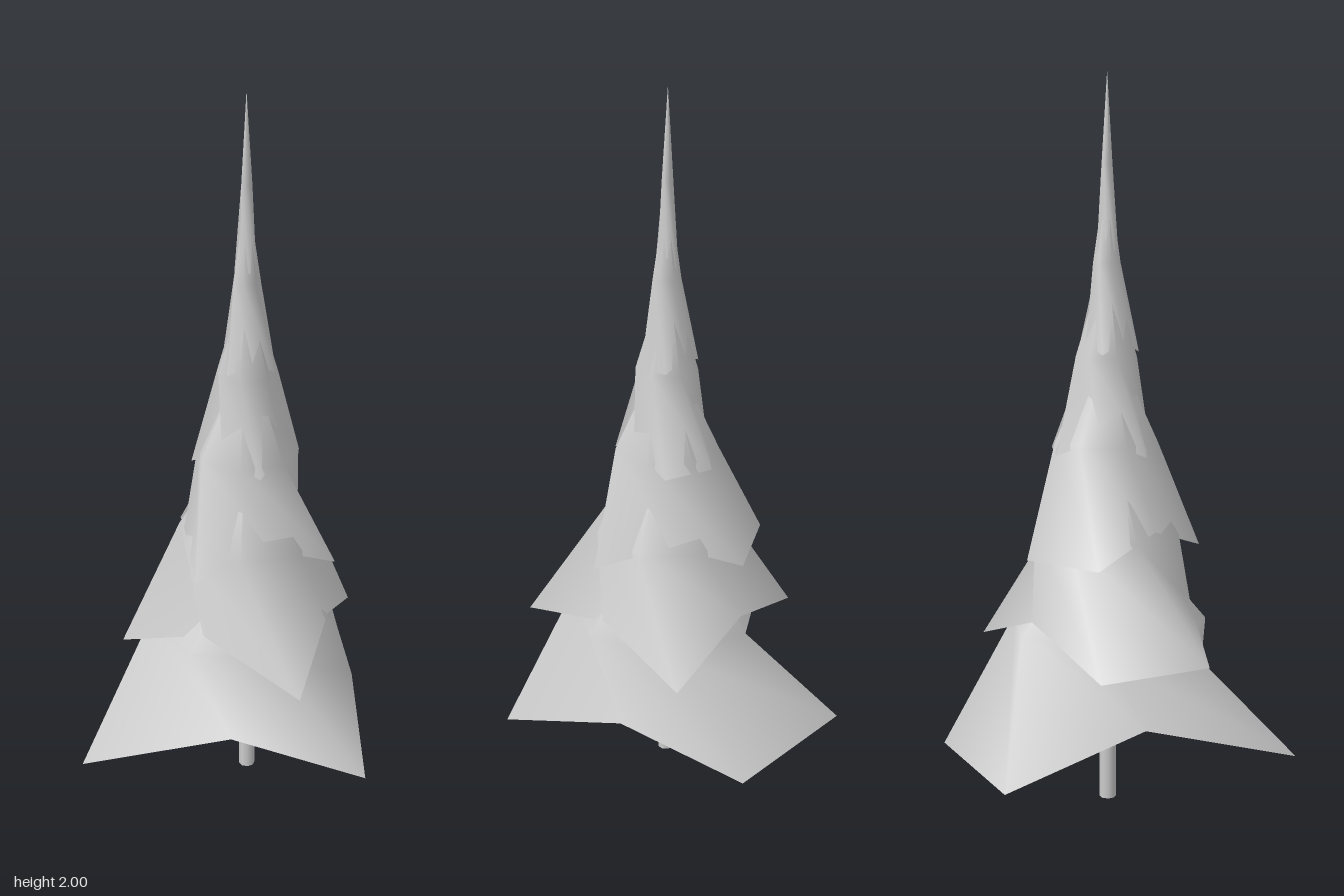
import * as THREE from 'three';

const SIDES = 7; // odd count: tips and notches alternate, with one pair of neighbouring tips
const AXIS = { x: 0.02, z: -0.03 };

// One skirt of branches: a twisted cone with a jagged hem, a waist ring turned half a step, and an apex.
// hemRadii lists the seven hem points starting at a tip; start is the angle in degrees.
function skirt({ start, hemRadii, tipY, notchY, waist, apexY }) {
  const positions = [], index = [];
  const rings = [
    (i) => ({ r: hemRadii[i], y: i % 2 === 0 ? tipY : notchY }),
    () => waist,
    () => ({ r: 0, y: apexY }),
  ];
  rings.forEach((ring, k) => {
    for (let i = 0; i < SIDES; i++) {
      const a = THREE.MathUtils.degToRad(start + (i + k / 2) * 360 / SIDES);
      const { r, y } = ring(i);
      positions.push(r * Math.cos(a), y, r * Math.sin(a));
      if (k === rings.length - 1) continue;
      const j = (i + 1) % SIDES;
      const p = k * SIDES + i, q = k * SIDES + j;
      // The long diagonal folds the cloth inward between the tips
      index.push(p, p + SIDES, q + SIDES, p, q + SIDES, q);
    }
  });
  const geometry = new THREE.BufferGeometry();
  geometry.setAttribute('position', new THREE.Float32BufferAttribute(positions, 3));
  geometry.setIndex(index);
  geometry.computeVertexNormals();
  return geometry;
}

export function createModel() {
  const tree = new THREE.Group();
  tree.name = 'firTree';
  const grey = new THREE.MeshStandardMaterial({ color: 0xcccccc, side: THREE.DoubleSide });
  grey.name = 'light grey';

  const add = (name, geometry) => {
    const mesh = new THREE.Mesh(geometry, grey);
    mesh.name = name;
    mesh.position.x = AXIS.x;
    mesh.position.z = AXIS.z;
    tree.add(mesh);
    return mesh;
  };

  // Trunk
  add('trunk', new THREE.CylinderGeometry(0.023, 0.023, 0.7, 8)).position.y = 0.35;

  // Branch skirts, from the ground up
  const tiers = [
    { start: -5, hemRadii: [0.456, 0.31, 0.474, 0.32, 0.535, 0.29, 0.506], tipY: 0.18, notchY: 0.29,
      waist: { y: 0.51, r: 0.275 }, apexY: 0.84 },
    { start: 275, hemRadii: [0.377, 0.25, 0.365, 0.24, 0.4, 0.235, 0.357], tipY: 0.45, notchY: 0.55,
      waist: { y: 0.77, r: 0.2 }, apexY: 1.09 },
    { start: 328.5, hemRadii: [0.258, 0.17, 0.26, 0.16, 0.256, 0.175, 0.277], tipY: 0.72, notchY: 0.79,
      waist: { y: 1.02, r: 0.143 }, apexY: 1.32 },
    { start: 24, hemRadii: [0.165, 0.11, 0.145, 0.11, 0.152, 0.11, 0.157], tipY: 0.99, notchY: 1.04,
      waist: { y: 1.25, r: 0.085 }, apexY: 1.53 },
    { start: 76, hemRadii: [0.085, 0.065, 0.085, 0.065, 0.085, 0.065, 0.085], tipY: 1.26, notchY: 1.29,
      waist: { y: 1.5, r: 0.038 }, apexY: 1.76 },
    { start: 128, hemRadii: [0.032, 0.027, 0.032, 0.027, 0.032, 0.027, 0.032], tipY: 1.53, notchY: 1.56,
      waist: { y: 1.76, r: 0.015 }, apexY: 2 },
  ];
  tiers.forEach((tier, i) =>
    add(i === tiers.length - 1 ? 'spire' : `branchTier${i + 1}`, skirt(tier)));

  return tree;
}
